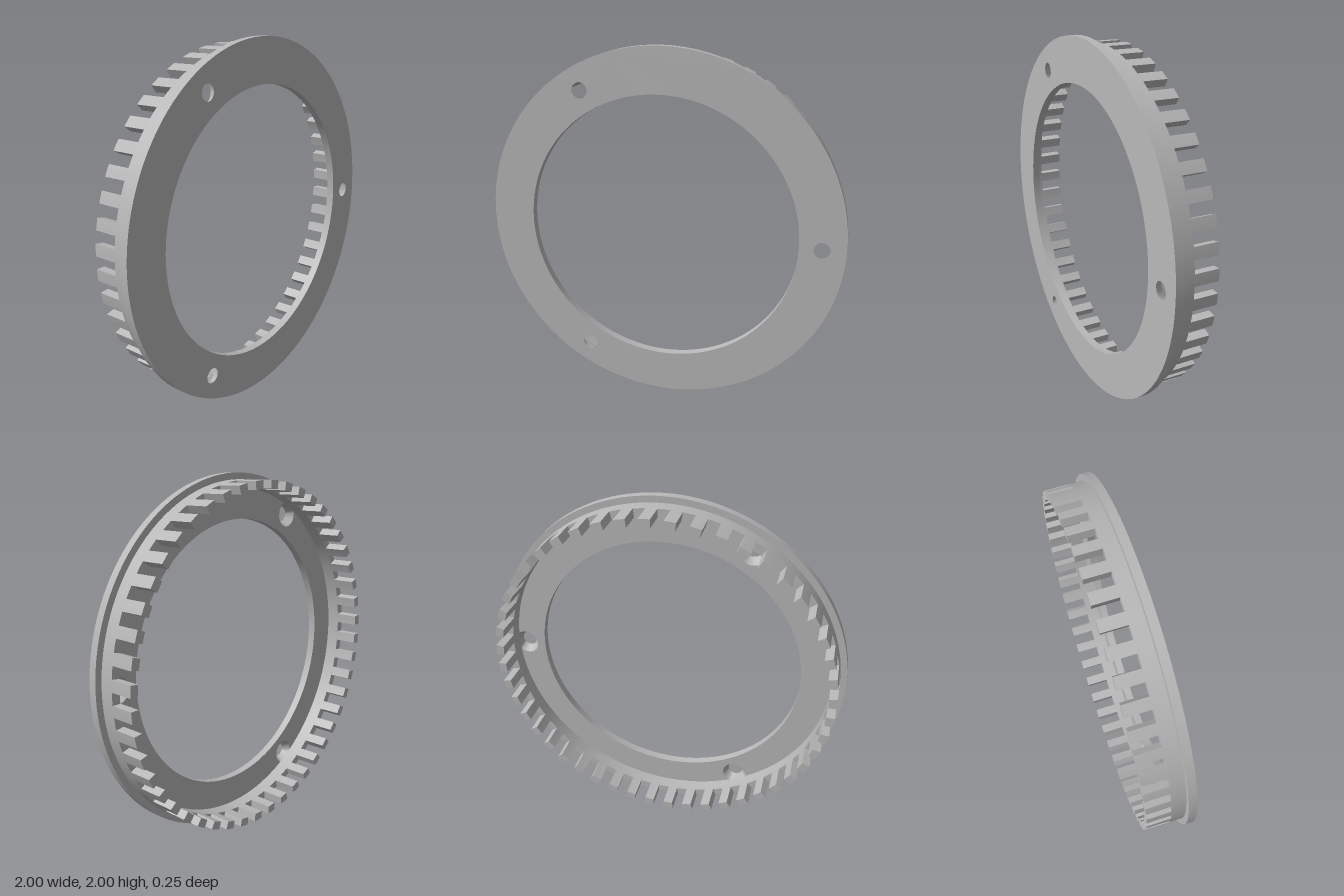
import * as THREE from 'three';
import { mergeGeometries } from 'three/addons/utils/BufferGeometryUtils.js';

const SEG = 144;
const TEETH = 48;
const R_RIM = 1, R_WALL = 0.965, R_WALL_IN = 0.92, R_BORE = 0.757;
const Z_FRONT = 0.125, Z_FLOOR = 0.081, Z_SLOT = 0.006, Z_BACK = -0.125;
const HOLE_R = 0.043, SINK_R = 0.071, HOLE_AT = 0.875, HOLE_SEG = 36;

// One straight profile segment revolved around the z axis
function band(r0, z0, r1, z1) {
  const g = new THREE.LatheGeometry([new THREE.Vector2(r0, z0), new THREE.Vector2(r1, z1)], SEG);
  return g.rotateX(Math.PI / 2);
}

// Outline of a screw hole, kept inside the inner face of the toothed wall
function holePoints(index, radius) {
  const a = (index * Math.PI * 2) / 3;
  const points = [];
  for (let i = 0; i < HOLE_SEG; i++) {
    const t = a + (i / HOLE_SEG) * Math.PI * 2;
    const p = new THREE.Vector2(
      HOLE_AT * Math.cos(a) + radius * Math.cos(t),
      HOLE_AT * Math.sin(a) + radius * Math.sin(t)
    );
    points.push(p.clampLength(0, R_WALL_IN + 0.003));
  }
  return points;
}

// Flat annulus with three screw holes, facing +z
function plateFace(outer, holeRadius) {
  const shape = new THREE.Shape().absarc(0, 0, outer, 0, Math.PI * 2);
  shape.holes.push(new THREE.Path().absarc(0, 0, R_BORE, 0, Math.PI * 2, true));
  for (let i = 0; i < 3; i++) shape.holes.push(new THREE.Path(holePoints(i, holeRadius)));
  return new THREE.ShapeGeometry(shape, SEG / 2);
}

// Conical inside of a countersunk screw hole
function countersink(index) {
  const front = holePoints(index, HOLE_R), back = holePoints(index, SINK_R);
  const pos = [], idx = [];
  for (let i = 0; i < HOLE_SEG; i++) {
    const n = (i + 1) % HOLE_SEG;
    pos.push(front[i].x, front[i].y, Z_FRONT, back[i].x, back[i].y, Z_FLOOR);
    idx.push(2 * i, 2 * n, 2 * i + 1, 2 * n, 2 * n + 1, 2 * i + 1);
  }
  const g = new THREE.BufferGeometry();
  g.setAttribute('position', new THREE.Float32BufferAttribute(pos, 3));
  g.setIndex(idx);
  g.computeVertexNormals();
  return g;
}

// Tooth left between two parallel-sided slots
function toothGeometry() {
  const halfSlot = 0.0325, half = Math.PI / TEETH;
  const a = half - Math.asin(halfSlot / R_WALL);
  const b = half - Math.asin(halfSlot / R_WALL_IN);
  const shape = new THREE.Shape();
  shape.absarc(0, 0, R_WALL, -a, a, false);
  shape.absarc(0, 0, R_WALL_IN, b, -b, true);
  return new THREE.ExtrudeGeometry(shape, {
    depth: Z_SLOT - Z_BACK, bevelEnabled: false, curveSegments: 3
  });
}

export function createModel() {
  const grey = new THREE.MeshStandardMaterial({ color: 0xb8b8b8 });
  grey.name = 'grey';
  const model = new THREE.Group();
  model.name = 'toothedRing';
  const ring = new THREE.Group();
  ring.name = 'ring';
  ring.position.y = 1;
  model.add(ring);

  const add = (name, geometry) => {
    const mesh = new THREE.Mesh(geometry, grey);
    mesh.name = name;
    ring.add(mesh);
    return mesh;
  };

  // Flange plate: faces, bore and rim
  add('flangeFront', plateFace(R_RIM, HOLE_R).translate(0, 0, Z_FRONT));
  add('flangeFloor', plateFace(R_WALL_IN + 0.01, SINK_R).rotateX(Math.PI).translate(0, 0, Z_FLOOR));
  add('flangeEdges', mergeGeometries([
    band(R_BORE, Z_FRONT, R_BORE, Z_FLOOR),
    band(R_WALL, Z_FLOOR, R_RIM, Z_FLOOR),
    band(R_RIM, Z_FLOOR, R_RIM, Z_FRONT)
  ]));

  // Wall standing behind the flange
  add('wall', mergeGeometries([
    band(R_WALL_IN, Z_FLOOR, R_WALL_IN, Z_SLOT),
    band(R_WALL_IN, Z_SLOT, R_WALL, Z_SLOT),
    band(R_WALL, Z_SLOT, R_WALL, Z_FLOOR)
  ]));

  // Screw holes
  for (let i = 0; i < 3; i++) add('screwHole', countersink(i));

  // Teeth along the back of the wall
  const tooth = toothGeometry();
  for (let i = 0; i < TEETH; i++) {
    const mesh = add('tooth', tooth);
    mesh.position.z = Z_BACK;
    mesh.rotation.z = ((i + 0.5) * Math.PI * 2) / TEETH;
  }
  return model;
}
